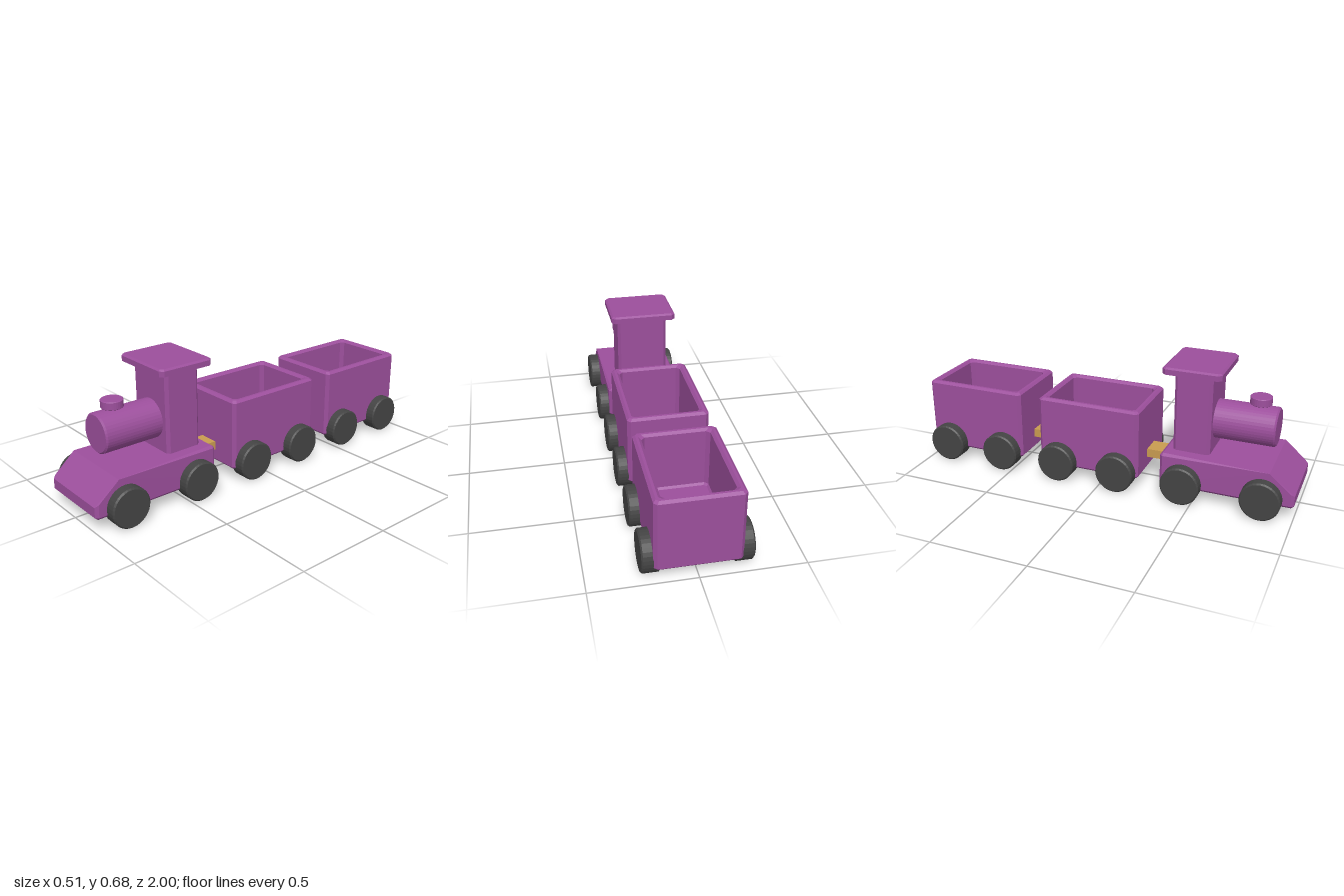
import * as THREE from 'three';
import { ConvexGeometry } from 'three/addons/geometries/ConvexGeometry.js';

const mat = (color, more = {}) => new THREE.MeshStandardMaterial({ color, flatShading: true, ...more });
const purple = mat(0x9c4f9c);
const dark = mat(0x444444);
const wood = mat(0xc89b50);

function mesh(name, geometry, material, x = 0, y = 0, z = 0) {
  const m = new THREE.Mesh(geometry, material);
  m.name = name;
  m.position.set(x, y, z);
  return m;
}

// Stacks rectangles with cut corners, each given as [halfX, halfZ, cornerCut, y]
function loft(rings) {
  const loops = rings.map(([w, d, c, y]) =>
    [[w, -d + c], [w, d - c], [w - c, d], [-w + c, d], [-w, d - c], [-w, -d + c], [-w + c, -d], [w - c, -d]]
      .map(([x, z]) => [x, y, z]));
  const pos = [];
  const tri = (...pts) => pts.forEach((p) => pos.push(...p));
  const last = loops.length - 1;
  const bottom = [0, rings[0][3], 0], top = [0, rings[last][3], 0];
  for (let j = 0; j < 8; j++) {
    const k = (j + 1) % 8;
    for (let i = 0; i < last; i++) {
      const a = loops[i], b = loops[i + 1];
      tri(a[j], b[j], a[k]);
      tri(b[j], b[k], a[k]);
    }
    tri(bottom, loops[0][j], loops[0][k]);
    tri(top, loops[last][k], loops[last][j]);
  }
  const g = new THREE.BufferGeometry();
  g.setAttribute('position', new THREE.Float32BufferAttribute(pos, 3));
  g.computeVertexNormals();
  return g;
}

// Box with every edge chamfered by c, standing on y0
const chamferBox = (w, d, y0, y1, c) => loft([
  [w - c, d - c, c / 2, y0], [w, d, c, y0 + c], [w, d, c, y1 - c], [w - c, d - c, c / 2, y1],
]);

// Closed disc or drum with chamfered rims, centred on its y axis
function drum(r, length, c, sides) {
  const h = length / 2;
  return new THREE.LatheGeometry(
    [[0, -h], [r - c, -h], [r, -h + c], [r, h - c], [r - c, h], [0, h]].map(([x, y]) => new THREE.Vector2(x, y)),
    sides);
}

// Two wheels at one z position
function wheelPair(z) {
  const pair = new THREE.Group();
  pair.name = 'wheelPair';
  for (const side of [-1, 1]) {
    const wheel = mesh(side > 0 ? 'leftWheel' : 'rightWheel', drum(0.1, 0.087, 0.007, 32), dark, side * 0.212, 0.1, z);
    wheel.rotation.z = Math.PI / 2;
    pair.add(wheel);
  }
  return pair;
}

// Wedge-nosed base of the engine
function engineBase() {
  const half = [
    [0.188, 0.065, 0.985], [0.188, 0.078, 1], [0.2, 0.078, 0.985], [0.188, 0.13, 1], [0.2, 0.142, 0.983],
    [0.203, 0.235, 0.875], [0.188, 0.065, 0.34], [0.203, 0.08, 0.34], [0.188, 0.08, 0.325],
    [0.188, 0.228, 0.325], [0.203, 0.228, 0.34], [0.188, 0.24, 0.34],
  ];
  const pts = half.flatMap(([x, y, z]) => [new THREE.Vector3(x, y, z), new THREE.Vector3(-x, y, z)]);
  return new ConvexGeometry(pts);
}

function engine() {
  const g = new THREE.Group();
  g.name = 'engine';
  g.add(mesh('base', engineBase(), purple));
  g.add(mesh('cab', chamferBox(0.135, 0.095, 0.215, 0.66, 0.015), purple, 0.003, 0, 0.465));
  g.add(mesh('roof', loft([
    [0.147, 0.122, 0.01, 0.635], [0.173, 0.148, 0.018, 0.645],
    [0.173, 0.148, 0.018, 0.672], [0.163, 0.138, 0.012, 0.68],
  ]), purple, 0.003, 0, 0.462));
  const boiler = mesh('boiler', drum(0.099, 0.345, 0.008, 40), purple, 0.003, 0.388, 0.693);
  boiler.rotation.x = Math.PI / 2;
  g.add(boiler);
  g.add(mesh('chimneyStem', new THREE.CylinderGeometry(0.016, 0.016, 0.06, 20), purple, 0.003, 0.48, 0.77));
  g.add(mesh('chimneyCap', drum(0.054, 0.04, 0.003, 32), purple, 0.003, 0.517, 0.77));
  g.add(wheelPair(0.845), wheelPair(0.445));
  return g;
}

// Open-topped wagon
function wagon(name, z) {
  const g = new THREE.Group();
  g.name = name;
  g.add(mesh('tub', loft([
    [0.19, 0.263, 0.01, 0.065], [0.203, 0.275, 0.016, 0.078],
    [0.203, 0.275, 0.016, 0.424], [0.19, 0.262, 0.012, 0.435],
    [0.178, 0.25, 0.015, 0.435], [0.165, 0.237, 0.018, 0.424],
    [0.165, 0.237, 0.018, 0.13], [0.155, 0.227, 0.012, 0.12],
  ]), purple, 0.002, 0, z));
  g.add(wheelPair(z + 0.164), wheelPair(z - 0.163));
  return g;
}

export function createModel() {
  const train = new THREE.Group();
  train.name = 'toyTrain';
  train.add(engine(), wagon('frontWagon', -0.066), wagon('rearWagon', -0.725));
  // Flat wooden couplings
  for (const [name, z] of [['frontCoupling', 0.267], ['rearCoupling', -0.395]]) {
    train.add(mesh(name, new THREE.BoxGeometry(0.107, 0.045, 0.15), wood, 0, 0.153, z));
  }
  return train;
}
